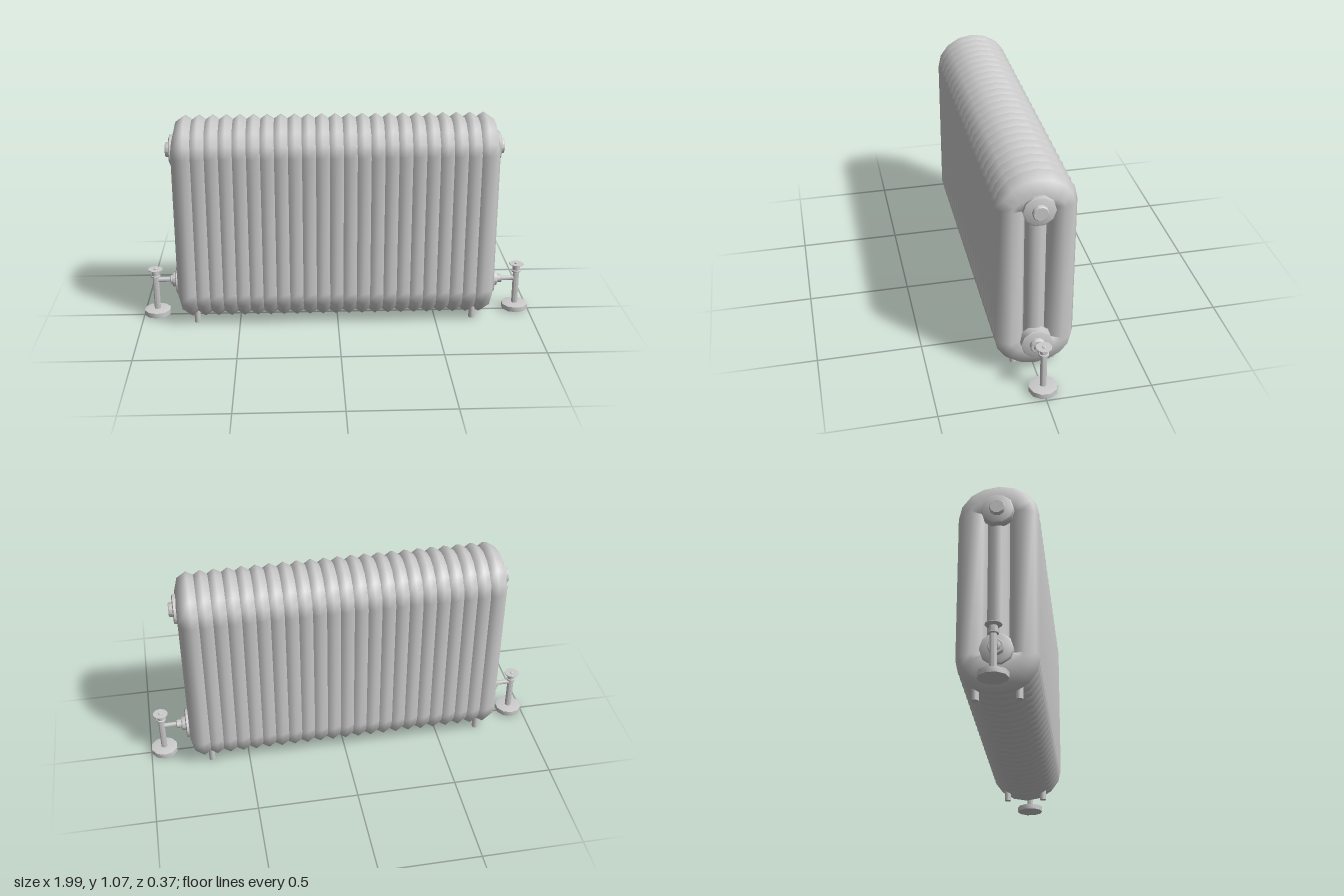
import * as THREE from 'three';
import { toCreasedNormals } from 'three/addons/utils/BufferGeometryUtils.js';

const material = new THREE.MeshStandardMaterial({ color: 0xcccccc });
const TOP = 0.895, BOTTOM = 0.18;      // centres of the two end arches
const COUNT = 23, PITCH = 0.067, BODY_X = -0.0075;

function add(parent, name, geometry, x = 0, y = 0, z = 0) {
  const mesh = new THREE.Mesh(geometry, material);
  mesh.name = name;
  mesh.position.set(x, y, z);
  parent.add(mesh);
  return mesh;
}

// Upright turned part from [radius, height] pairs
function turned(points, sides) {
  const profile = points.map(([r, h]) => new THREE.Vector2(r, h));
  return toCreasedNormals(new THREE.LatheGeometry(profile, sides), 0.8);
}

// Closed loop of tube: narrow at the two uprights, tall at the headers
function loopGeometry(steps = 8, sides = 8) {
  const pos = [], index = [];
  const rings = [];
  for (const [centre, start] of [[TOP, -Math.PI / 2], [BOTTOM, Math.PI / 2]]) {
    for (let i = 0; i <= steps; i++) rings.push([centre, start + (i / steps) * Math.PI]);
  }
  for (const [centre, t] of rings) {
    for (let j = 0; j < sides; j++) {
      const a = (j / sides) * Math.PI * 2;
      pos.push(
        0.064 * Math.sin(a),
        centre + Math.cos(t) * (0.06 + 0.11 * Math.cos(a)),
        Math.sin(t) * (0.118 + 0.0685 * Math.cos(a))
      );
    }
  }
  for (let i = 0; i < rings.length; i++) {
    const n = (i + 1) % rings.length;
    for (let j = 0; j < sides; j++) {
      const k = (j + 1) % sides;
      const a = i * sides + j, b = n * sides + j, c = n * sides + k, d = i * sides + k;
      index.push(a, b, d, b, c, d);
    }
  }
  const geometry = new THREE.BufferGeometry();
  geometry.setAttribute('position', new THREE.Float32BufferAttribute(pos, 3));
  geometry.setIndex(index);
  geometry.computeVertexNormals();
  return geometry;
}

// Valve standing on the floor beside the radiator, arm towards -x
function createValve(armY) {
  const valve = new THREE.Group();
  add(valve, 'floorPlate', turned([[0, 0.008], [0.068, 0.008], [0.068, 0.034], [0.05, 0.038], [0, 0.038]], 10));
  add(valve, 'post', turned([[0.016, 0.03], [0.016, 0.21], [0.024, 0.212], [0.024, 0.22], [0.019, 0.222], [0.019, 0.248], [0, 0.248]], 10));
  add(valve, 'handwheel', turned([[0, 0.246], [0.022, 0.246], [0.038, 0.253], [0.038, 0.256], [0, 0.256]], 10));
  add(valve, 'handwheelKnob', turned([[0.01, 0.25], [0.01, 0.26], [0.006, 0.263], [0, 0.263]], 8));
  const arm = add(valve, 'arm', turned([[0.012, 0], [0.012, 0.075], [0.022, 0.078], [0.022, 0.1], [0, 0.1]], 10), 0, armY);
  arm.rotation.z = Math.PI / 2;
  return valve;
}

export function createModel() {
  const model = new THREE.Group();
  model.name = 'columnRadiator';

  // Radiator sections, each a loop with a centre column
  const body = new THREE.Group();
  body.name = 'body';
  body.position.x = BODY_X;
  model.add(body);
  const loop = loopGeometry();
  const column = new THREE.CylinderGeometry(0.05, 0.05, TOP - BOTTOM, 10, 1, true);
  for (let i = 0; i < COUNT; i++) {
    const x = (i - (COUNT - 1) / 2) * PITCH;
    add(body, 'sectionLoop', loop, x);
    add(body, 'centreColumn', column, x, (TOP + BOTTOM) / 2);
  }

  // End bushings with plugs, and a valve at each end
  const bushing = turned([[0.075, 0], [0.075, 0.043], [0.068, 0.047], [0, 0.047]], 10);
  const plug = turned([[0.037, 0], [0.037, 0.062], [0.033, 0.067], [0, 0.067]], 10);
  for (const side of [-1, 1]) {
    const lowerY = side < 0 ? 0.197 : 0.175;
    for (const y of [TOP, lowerY]) {
      for (const [name, geometry] of [['bushing', bushing], ['plug', plug]]) {
        const part = add(body, name, geometry, side * 0.77, y);
        part.rotation.z = -side * Math.PI / 2;
      }
    }
    const valve = createValve(lowerY);
    valve.name = side < 0 ? 'rightValve' : 'leftValve';
    valve.position.x = side * 0.931;
    if (side < 0) valve.rotation.y = Math.PI;
    model.add(valve);
  }

  // Four short feet
  const foot = new THREE.CylinderGeometry(0.016, 0.016, 0.12, 10);
  for (const x of [-0.718, 0.692]) {
    for (const z of [0.09, -0.101]) add(model, 'foot', foot, x, 0.06, z);
  }
  return model;
}
